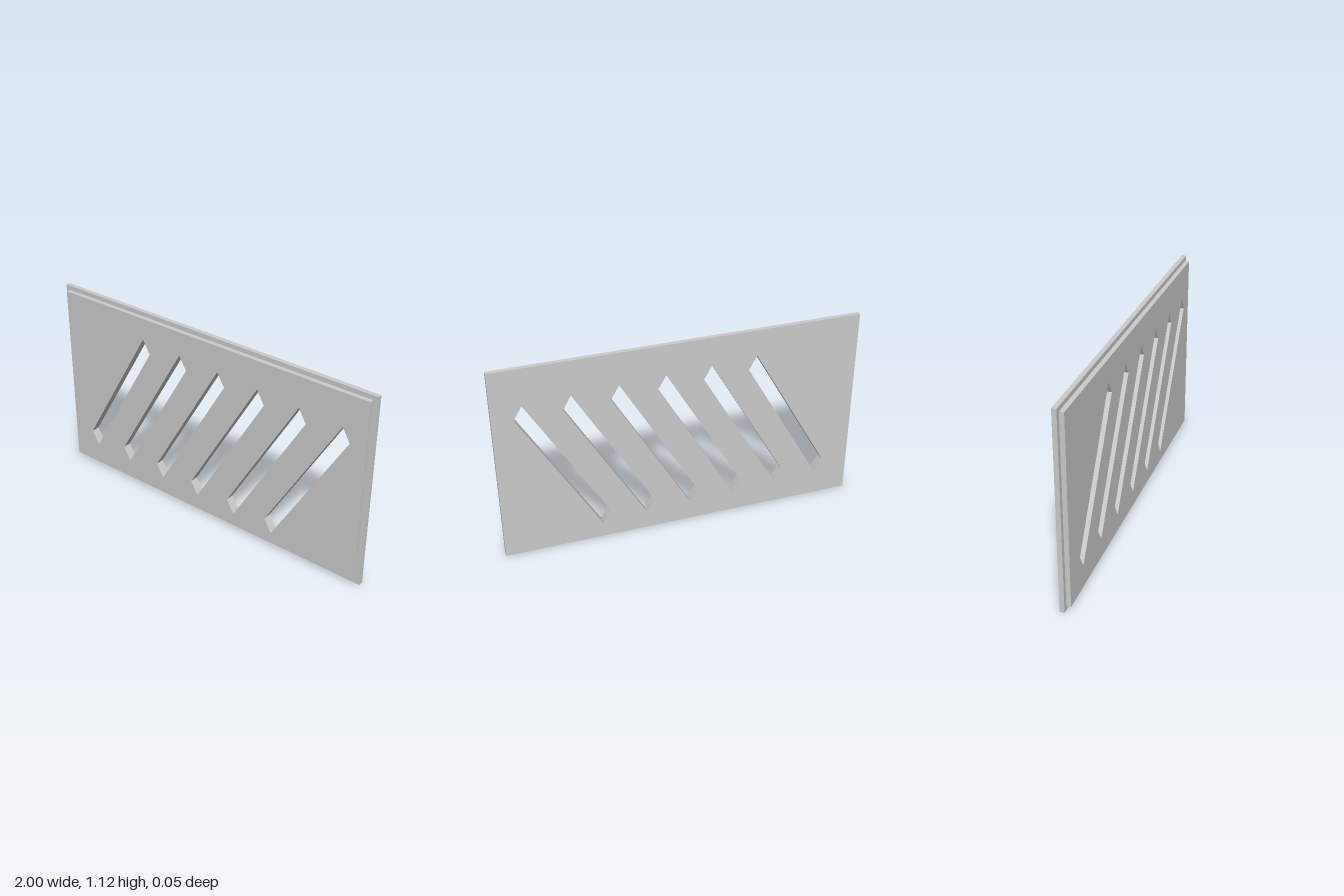
import * as THREE from 'three';

const HEIGHT = 1.12, DEPTH = 0.025, LIP = 0.025;

// Six slanted slots, each a rectangle tilted 60 degrees, stepping slightly down to +x
function slotPath(i) {
  const centre = new THREE.Vector2(-0.609 + 0.2514 * i, 0.56 - 0.0122 * i);
  const along = new THREE.Vector2(Math.cos(Math.PI / 3), Math.sin(Math.PI / 3)).multiplyScalar(0.43);
  const across = new THREE.Vector2(Math.sin(Math.PI / 3), -Math.cos(Math.PI / 3));
  // ends are square to the slot direction, mitred towards the vertical
  const end = new THREE.Vector2(Math.cos(Math.PI / 3), -Math.sin(Math.PI / 3)).multiplyScalar(0.0445);
  if (across.dot(end) < 0) end.negate();
  const corner = (a, e) => centre.clone().addScaledVector(along, a).addScaledVector(end, e);
  return new THREE.Path([corner(-1, -1), corner(1, -1), corner(1, 1), corner(-1, 1)]);
}

// Flat rectangular plate, inset from the outer edge, pierced by the slots
function slottedPlate(name, inset, z, material) {
  const x = 1 - inset, y0 = inset, y1 = HEIGHT - inset;
  const shape = new THREE.Shape([
    new THREE.Vector2(-x, y0), new THREE.Vector2(x, y0),
    new THREE.Vector2(x, y1), new THREE.Vector2(-x, y1),
  ]);
  for (let i = 0; i < 6; i++) shape.holes.push(slotPath(i));
  const plate = new THREE.Mesh(
    new THREE.ExtrudeGeometry(shape, { depth: DEPTH, bevelEnabled: false }), material);
  plate.name = name;
  plate.position.z = z;
  return plate;
}

export function createModel() {
  const material = new THREE.MeshStandardMaterial({ color: 0xcccccc });
  const group = new THREE.Group();
  group.name = 'slottedPanel';
  group.add(
    slottedPlate('backPlate', 0, -DEPTH, material),
    slottedPlate('frontPlate', LIP, 0, material),
  );
  return group;
}
